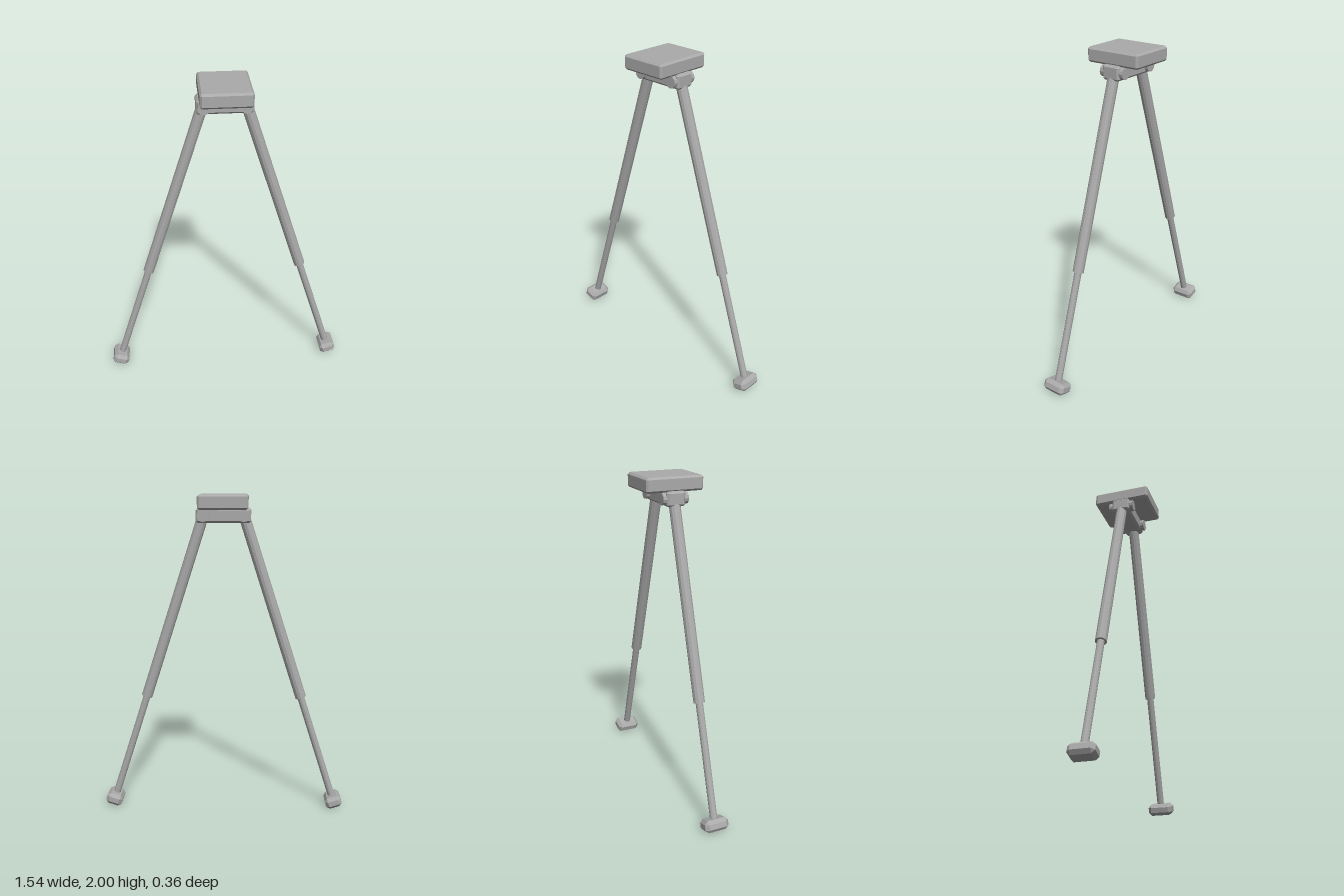
import * as THREE from 'three';
import { ConvexGeometry } from 'three/addons/geometries/ConvexGeometry.js';

// Box with flat chamfers on every edge, given its full sizes
function chamferBox(w, h, d, c) {
  const points = [];
  for (const sx of [-1, 1]) for (const sy of [-1, 1]) for (const sz of [-1, 1]) {
    for (let face = 0; face < 3; face++) {
      const [x, y, z] = [w, h, d].map((size, axis) => size / 2 - (axis === face ? 0 : c));
      points.push(new THREE.Vector3(sx * x, sy * y, sz * z));
    }
  }
  return new ConvexGeometry(points);
}

export function createModel() {
  const model = new THREE.Group();
  model.name = 'bipod';
  const grey = new THREE.MeshStandardMaterial({ color: 0xaaaaaa, flatShading: true });
  grey.name = 'grey';

  const add = (parent, name, geometry, x, y, z) => {
    const mesh = new THREE.Mesh(geometry, grey);
    mesh.name = name;
    mesh.position.set(x, y, z);
    parent.add(mesh);
    return mesh;
  };

  // Mounting plate and the hinge bracket beneath it
  add(model, 'mountingPlate', chamferBox(0.3, 0.088, 0.36, 0.012), 0, 1.956, 0);
  add(model, 'hingeBracket', chamferBox(0.332, 0.088, 0.116, 0.012), 0, 1.874, 0);

  const pivot = { x: 0.123, y: 1.874 };
  const foot = { x: 0.714, y: 0.0443 };
  const splay = Math.atan2(foot.x - pivot.x, pivot.y - foot.y);
  const reach = Math.hypot(foot.x - pivot.x, pivot.y - foot.y);
  const sleeve = 1.195;

  for (const side of [-1, 1]) {
    const sideName = side > 0 ? 'left' : 'right';

    // Hinge pin through the bracket
    add(model, sideName + 'HingePin', new THREE.CylinderGeometry(0.036, 0.036, 0.16, 12),
      side * pivot.x, pivot.y, 0).rotation.x = Math.PI / 2;

    // Telescopic leg, built hanging straight down and then splayed
    const leg = new THREE.Group();
    leg.name = sideName + 'Leg';
    leg.position.set(side * pivot.x, pivot.y, 0);
    leg.rotation.z = side * splay;
    model.add(leg);
    add(leg, 'upperTube', new THREE.CylinderGeometry(0.034, 0.034, sleeve, 12), 0, -sleeve / 2, 0);
    const lower = reach - sleeve + 0.1;
    add(leg, 'lowerTube', new THREE.CylinderGeometry(0.022, 0.022, lower, 12), 0, -reach + lower / 2, 0);
    add(leg, 'foot', chamferBox(0.104, 0.072, 0.152, 0.02), 0, -reach, 0);
  }
  return model;
}
